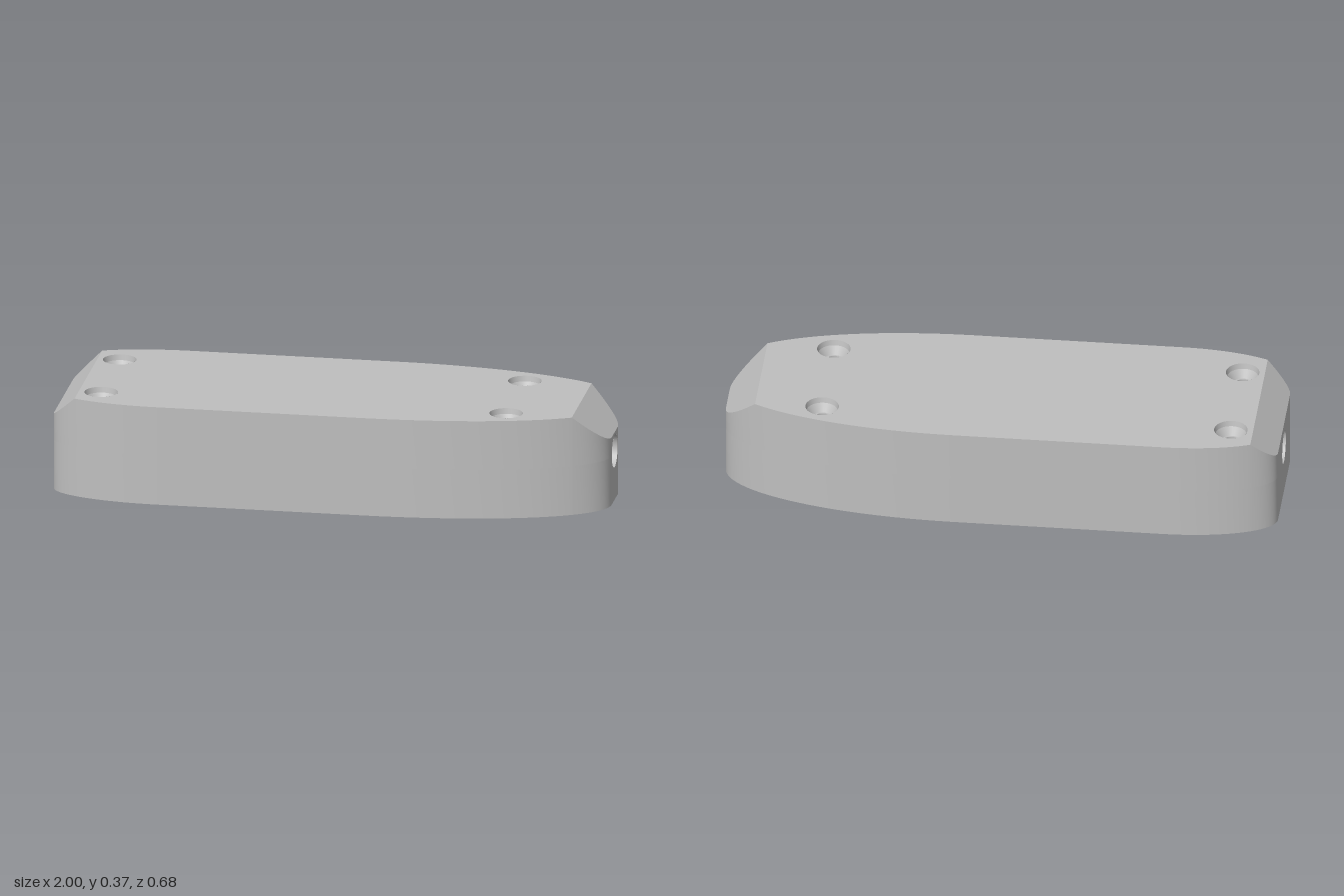
import * as THREE from 'three';

const H = 0.365, SEAM = 0.183;            // total height, joint between base and lid
const NOSE = 0.88, TAIL = -0.91;          // where the sloped ends begin
const NOSE_Y = 0.253, TAIL_Y = 0.28;      // height of the end faces
const NOSE_Z = 0.066, TAIL_Z = 0.2, W = 0.34;
const BORE_R = 0.061, CAV_X = 0.9, CAV_Z = 0.12, CAV_LO = 0.127, CAV_HI = 0.238;

// height of the upper surface at x
function topY(x) {
  if (x > NOSE) return H + (NOSE_Y - H) * (x - NOSE) / (1 - NOSE);
  if (x < TAIL) return H + (TAIL_Y - H) * (TAIL - x) / (1 + TAIL);
  return H;
}

// half width of the plan: elliptical nose and tail around a straight middle
function halfWidth(x) {
  const n = Math.max(0, (x - 0.15) / 0.85), t = Math.max(0, (-0.6 - x) / 0.4);
  if (n > 0) return NOSE_Z + (W - NOSE_Z) * Math.sqrt(Math.max(0, 1 - n * n));
  return TAIL_Z + (W - TAIL_Z) * Math.sqrt(Math.max(0, 1 - t * t));
}

// x stations from nose to tail, dense where the outline turns
function stations() {
  const xs = [NOSE, TAIL];
  for (let i = 0; i <= 24; i++) {
    const s = Math.sin((i / 24) * Math.PI / 2);
    xs.push(0.15 + 0.85 * s, -0.6 - 0.4 * s);
  }
  return xs.sort((a, b) => b - a);
}

// surface between two rows of points
function strip(a, b) {
  const pos = [], idx = [], n = a.length;
  [...a, ...b].forEach((p) => pos.push(...p));
  for (let i = 0; i < n - 1; i++) idx.push(i, n + i, n + i + 1, i, n + i + 1, i + 1);
  const g = new THREE.BufferGeometry();
  g.setAttribute('position', new THREE.Float32BufferAttribute(pos, 3));
  g.setIndex(idx);
  g.computeVertexNormals();
  return g;
}

function circleHole(x, y, r) {
  const p = new THREE.Path();
  p.absarc(x, y, r, 0, Math.PI * 2, true);
  return p;
}

function rectShape(w, y0, y1) {
  return new THREE.Shape([[-w, y0], [w, y0], [w, y1], [-w, y1]].map((p) => new THREE.Vector2(...p)));
}

function planShape(xs) {
  const front = xs.map((x) => new THREE.Vector2(x, halfWidth(x)));
  const back = xs.map((x) => new THREE.Vector2(x, -halfWidth(x))).reverse();
  return new THREE.Shape([...front, ...back]);
}

export function createModel() {
  const model = new THREE.Group();
  const grey = new THREE.MeshStandardMaterial({ color: 0xbfbfbf, side: THREE.DoubleSide });
  grey.name = 'grey plastic';
  const add = (name, geo, parent = model) => {
    const m = new THREE.Mesh(geo, grey);
    m.name = name;
    parent.add(m);
    return m;
  };
  const base = new THREE.Group(), lid = new THREE.Group();
  base.name = 'base';
  lid.name = 'lid';
  model.add(base, lid);

  // side walls of base and lid
  const xs = stations();
  for (const s of [1, -1]) {
    const order = s > 0 ? xs : [...xs].reverse();
    const row = (h) => order.map((x) => [x, h(x), s * halfWidth(x)]);
    add('baseWall', strip(row(() => 0), row(() => SEAM)), base);
    add('lidWall', strip(row(() => SEAM), row(topY)), lid);
  }

  // underside
  add('underside', new THREE.ShapeGeometry(planShape(xs)).rotateX(Math.PI / 2), base);

  // flat top with four screw openings
  const screws = [[0.64, 0.195], [0.64, -0.195], [-0.83, 0.195], [-0.83, -0.195]];
  const top = planShape(xs.filter((x) => x <= NOSE && x >= TAIL));
  screws.forEach(([x, z]) => top.holes.push(circleHole(x, -z, 0.06)));
  add('topPanel', new THREE.ShapeGeometry(top, 32).rotateX(-Math.PI / 2).translate(0, H, 0), lid);

  // sloped ends
  for (const [name, part] of [['noseSlope', xs.filter((x) => x >= NOSE)], ['tailSlope', xs.filter((x) => x <= TAIL)]]) {
    const row = (s) => part.map((x) => [x, topY(x), s * halfWidth(x)]);
    add(name, strip(row(1), row(-1)), lid);
  }

  // countersunk screw holes
  const profile = [[0.06, 0], [0.056, -0.02], [0.038, -0.05], [0.032, -0.05], [0.032, -0.13], [0, -0.13]];
  for (const [x, z] of screws) {
    for (let i = 0; i < profile.length - 1; i++) {
      const pts = [profile[i + 1], profile[i]].map((p) => new THREE.Vector2(...p));
      add('screwHole', new THREE.LatheGeometry(pts, 32), lid).position.set(x, H, z);
    }
  }

  // end faces, cable bores and inner end walls
  for (const [s, w, y] of [[1, NOSE_Z, NOSE_Y], [-1, TAIL_Z, TAIL_Y]]) {
    const face = rectShape(w, 0, y), inner = rectShape(CAV_Z, CAV_LO - 0.025, CAV_HI + 0.025);
    face.holes.push(circleHole(0, SEAM, BORE_R));
    inner.holes.push(circleHole(0, SEAM, BORE_R));
    add('endFace', new THREE.ShapeGeometry(face, 32).rotateY(s * Math.PI / 2).translate(s, 0, 0));
    add('innerEndWall', new THREE.ShapeGeometry(inner, 32).rotateY(-s * Math.PI / 2).translate(s * CAV_X, 0, 0));
    const bore = new THREE.CylinderGeometry(BORE_R, BORE_R, 1 - CAV_X, 32, 1, true).rotateZ(Math.PI / 2);
    add('cableBore', bore.translate(s * (1 + CAV_X) / 2, SEAM, 0));
  }

  // inner channel with a low baffle in the base
  const mid = (CAV_LO + CAV_HI) / 2, L = CAV_X * 2;
  for (const s of [1, -1]) {
    add('channelSide', new THREE.PlaneGeometry(L, CAV_HI - CAV_LO).rotateY(s > 0 ? Math.PI : 0).translate(0, mid, s * CAV_Z));
    add(s > 0 ? 'channelCeiling' : 'channelFloor', new THREE.PlaneGeometry(L, CAV_Z * 2)
      .rotateX(s * Math.PI / 2).translate(0, s > 0 ? CAV_HI : CAV_LO, 0));
  }
  add('baffle', new THREE.BoxGeometry(0.04, SEAM - CAV_LO, CAV_Z * 2).translate(0, (SEAM + CAV_LO) / 2, 0), base);
  return model;
}
